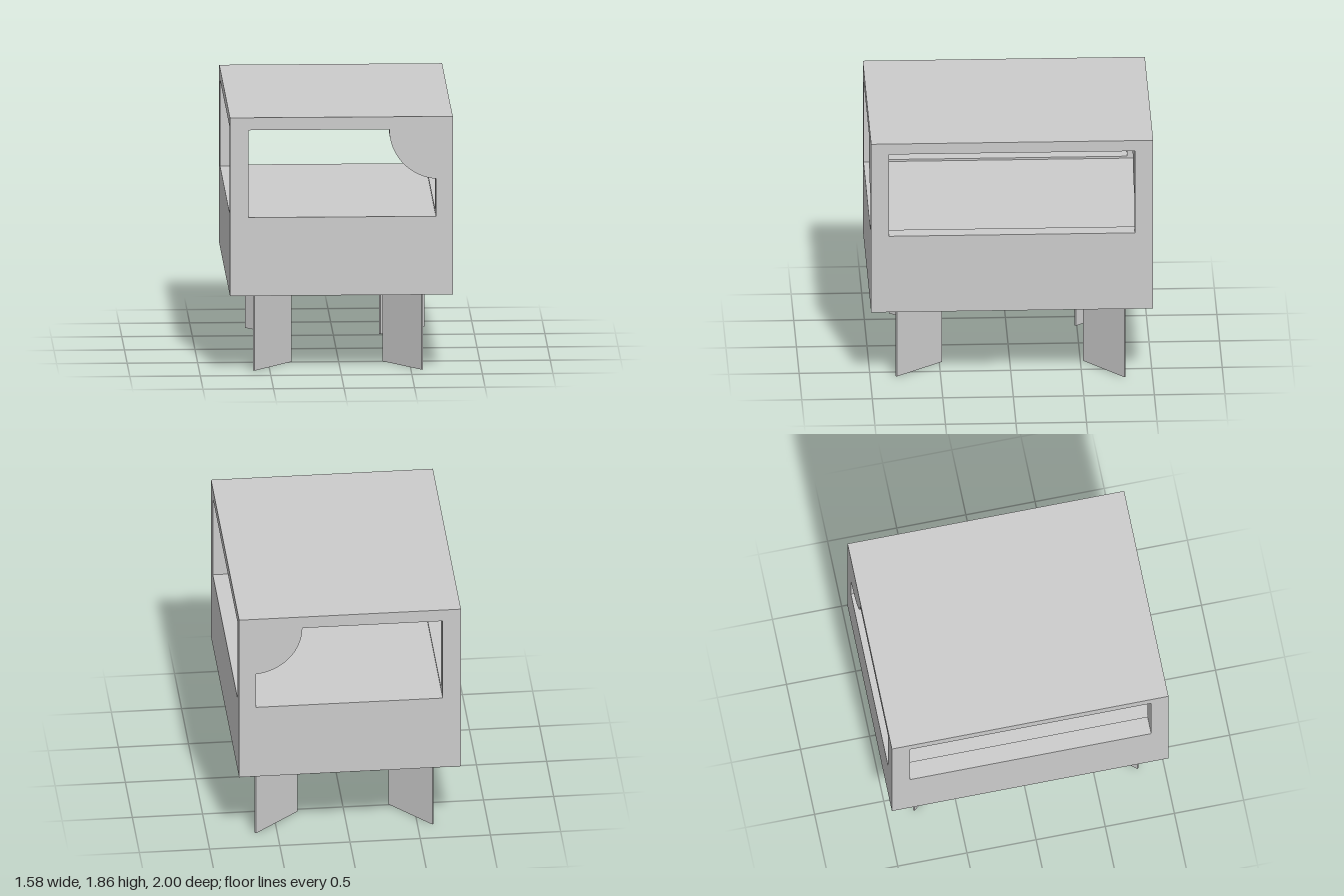
import * as THREE from 'three';

const W = 0.79, BOTTOM = 0.575, TOP = 1.86;
const Z_FRONT = 0.875, Z_BACK = -0.87; // inner faces of the end walls

export function createModel() {
  const model = new THREE.Group();
  model.name = 'cabinOnLegs';
  const material = new THREE.MeshStandardMaterial({ color: 0xcccccc, flatShading: true });

  const add = (name, geometry) => {
    const mesh = new THREE.Mesh(geometry, material);
    mesh.name = name;
    model.add(mesh);
    return mesh;
  };

  // Box given by its limits on each axis
  const block = (name, x0, x1, y0, y1, z0, z1) =>
    add(name, new THREE.BoxGeometry(x1 - x0, y1 - y0, z1 - z0))
      .position.set((x0 + x1) / 2, (y0 + y1) / 2, (z0 + z1) / 2);

  // End wall: window with a rounded bite in one upper corner
  const wall = new THREE.Shape();
  wall.moveTo(-W, BOTTOM).lineTo(W, BOTTOM).lineTo(W, TOP).lineTo(-W, TOP).closePath();
  const opening = new THREE.Path();
  opening.moveTo(0.67, 1.14).lineTo(-0.66, 1.14).lineTo(-0.66, 1.77).lineTo(0.34, 1.77);
  opening.absarc(0.7, 1.77, 0.36, Math.PI, 1.5 * Math.PI - 0.083, false);
  opening.closePath();
  wall.holes.push(opening);
  const endWall = (name, z0, z1) =>
    add(name, new THREE.ExtrudeGeometry(wall, { depth: z1 - z0, bevelEnabled: false, curveSegments: 32 }))
      .position.z = z0;
  endWall('frontWall', Z_FRONT, 1);
  endWall('backWall', -1, Z_BACK);

  // Solid base, side window sills and roof between the end walls
  block('base', -W, W, BOTTOM, 1.14, Z_BACK, Z_FRONT);
  block('rightSill', -W, -0.66, 1.14, 1.155, Z_BACK, Z_FRONT);
  block('leftSill', 0.67, W, 1.14, 1.155, Z_BACK, Z_FRONT);
  block('roof', -W, W, 1.78, TOP, Z_BACK, Z_FRONT);

  // Thin plate legs set diagonally: inner end (x, z) to outer end (x, z)
  const legs = [
    ['frontLeftLeg', 0.315, 0.485, 0.58, 0.815],
    ['frontRightLeg', -0.34, 0.485, -0.615, 0.815],
    ['backLeftLeg', 0.33, -0.525, 0.655, -0.805],
    ['backRightLeg', -0.33, -0.49, -0.61, -0.805],
  ];
  for (const [name, x0, z0, x1, z1] of legs) {
    const leg = add(name, new THREE.BoxGeometry(Math.hypot(x1 - x0, z1 - z0), BOTTOM, 0.014));
    leg.position.set((x0 + x1) / 2, BOTTOM / 2, (z0 + z1) / 2);
    leg.rotation.y = Math.atan2(z0 - z1, x1 - x0);
  }
  return model;
}
